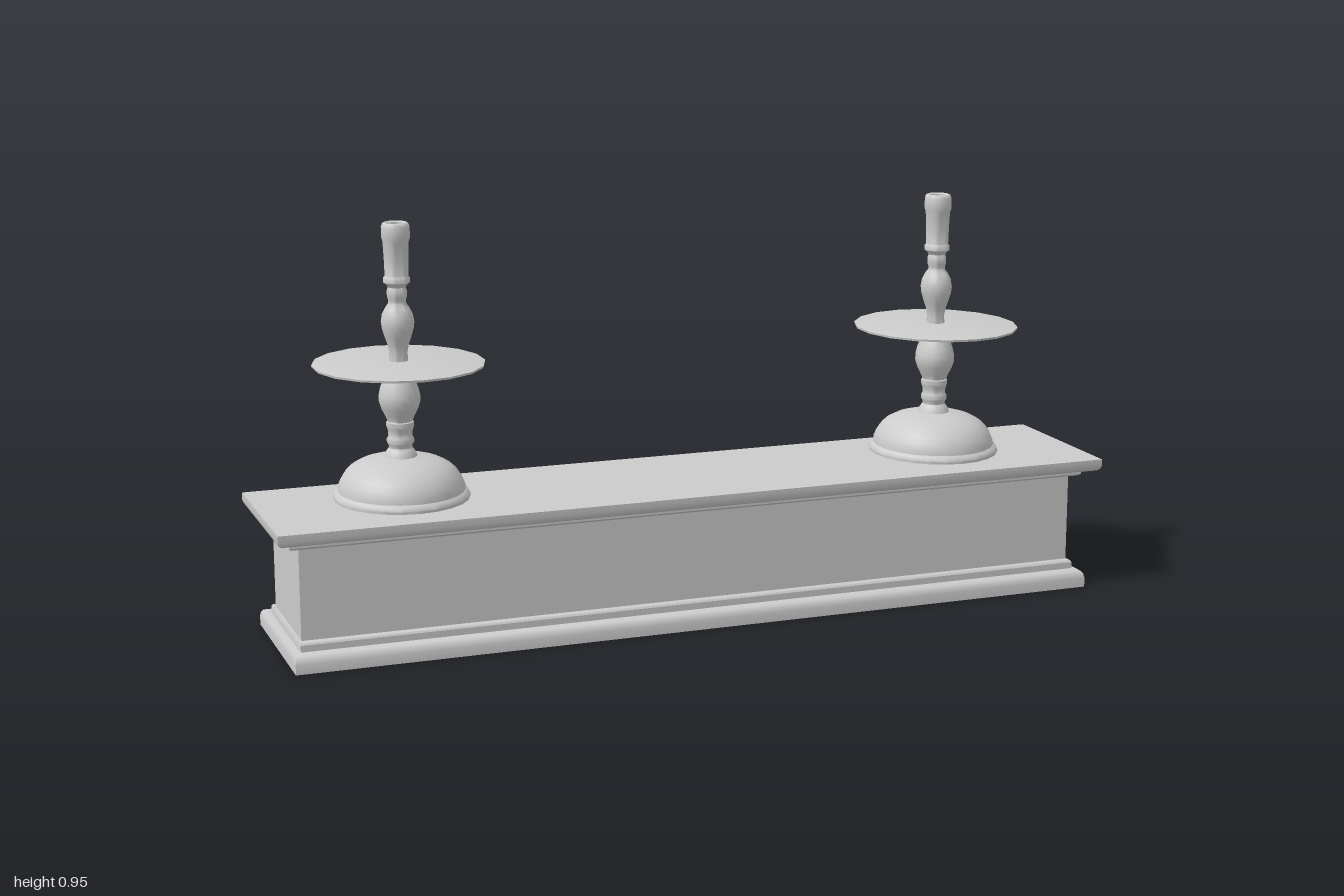
import * as THREE from 'three';
import { toCreasedNormals } from 'three/addons/utils/BufferGeometryUtils.js';

const material = new THREE.MeshStandardMaterial({ color: 0xcccccc, side: THREE.DoubleSide });

// Skin over rectangular levels [halfWidth, halfDepth, y], listed bottom to top.
function rectSkin(name, levels, z) {
  const corners = [[1, 1], [1, -1], [-1, -1], [-1, 1]];
  const positions = [];
  const index = [];
  for (const [w, d, y] of levels) {
    for (const [sx, sz] of corners) positions.push(sx * w, y, sz * d);
  }
  for (let i = 0; i < levels.length - 1; i++) {
    for (let j = 0; j < 4; j++) {
      const a = i * 4 + j;
      const b = i * 4 + (j + 1) % 4;
      index.push(a, b, b + 4, a, b + 4, a + 4);
    }
  }
  const geometry = new THREE.BufferGeometry();
  geometry.setAttribute('position', new THREE.Float32BufferAttribute(positions, 3));
  geometry.setIndex(index);
  const mesh = new THREE.Mesh(toCreasedNormals(geometry, 0.6), material);
  mesh.name = name;
  mesh.position.z = z;
  return mesh;
}

function turned(name, profile, segments, crease = 0.75) {
  const points = profile.map(([r, y]) => new THREE.Vector2(r, y));
  const geometry = new THREE.LatheGeometry(points, segments);
  geometry.deleteAttribute('normal');
  geometry.deleteAttribute('uv');
  const mesh = new THREE.Mesh(toCreasedNormals(geometry, crease), material);
  mesh.name = name;
  return mesh;
}

function createCandlestick() {
  const group = new THREE.Group();
  // Domed foot with a flared rim
  group.add(turned('foot', [
    [0, 0.323], [0.165, 0.323], [0.166, 0.329], [0.161, 0.337], [0.154, 0.341],
    [0.153, 0.352], [0.147, 0.366], [0.137, 0.381], [0.121, 0.395],
    [0.099, 0.406], [0.074, 0.413], [0.052, 0.416], [0.036, 0.419],
  ], 24));
  // Baluster stem below the drip pan
  group.add(turned('lowerStem', [
    [0.040, 0.417], [0.038, 0.425], [0.033, 0.432], [0.028, 0.438], [0.029, 0.445],
    [0.033, 0.451], [0.033, 0.458], [0.029, 0.464], [0.029, 0.474], [0.032, 0.483],
    [0.034, 0.490], [0.033, 0.497], [0.030, 0.499], [0.036, 0.512], [0.045, 0.529],
    [0.050, 0.545], [0.050, 0.558], [0.045, 0.578], [0.036, 0.597], [0.029, 0.612],
    [0.026, 0.630],
  ], 20));
  // Wide thin drip pan
  group.add(turned('dripPan', [
    [0, 0.629], [0.207, 0.627], [0.208, 0.632], [0.185, 0.636], [0, 0.637],
  ], 18, 0.5));
  group.add(turned('upperStem', [
    [0.023, 0.636], [0.022, 0.655], [0.025, 0.672], [0.032, 0.691], [0.038, 0.710],
    [0.040, 0.725], [0.037, 0.742], [0.029, 0.757], [0.021, 0.767], [0.021, 0.773],
    [0.024, 0.782], [0.024, 0.795], [0.021, 0.803], [0.026, 0.810],
  ], 20));
  // Hollow candle socket
  group.add(turned('candleSocket', [
    [0.021, 0.806], [0.032, 0.814], [0.032, 0.824], [0.028, 0.829], [0.029, 0.865],
    [0.031, 0.905], [0.034, 0.914], [0.034, 0.938], [0.031, 0.946], [0.027, 0.948],
    [0.022, 0.945], [0.020, 0.900], [0, 0.898],
  ], 20));
  group.scale.x = 0.93;
  return group;
}

export function createModel() {
  const model = new THREE.Group();
  model.name = 'mantelWithCandlesticks';

  // Hollow plinth, open underneath
  model.add(rectSkin('wall', [[0.944, 0.139, 0.004], [0.944, 0.139, 0.275]], 0.014));
  model.add(rectSkin('baseMoulding', [
    [0.942, 0.137, 0], [0.969, 0.197, 0], [0.969, 0.197, 0.022], [0.967, 0.194, 0.032],
    [0.963, 0.188, 0.038], [0.957, 0.180, 0.040], [0.942, 0.137, 0.040],
  ], 0.0085));
  model.add(rectSkin('baseStep', [
    [0.95, 0.160, 0.04], [0.95, 0.160, 0.055], [0.948, 0.157, 0.059], [0.943, 0.137, 0.06],
  ], 0.013));

  // Cornice step and overhanging top slab
  model.add(rectSkin('corniceStep', [
    [0.943, 0.137, 0.27], [0.962, 0.154, 0.27], [0.968, 0.160, 0.275], [0.968, 0.160, 0.289],
  ], 0.012));
  model.add(rectSkin('topSlab', [
    [0, 0, 0.288], [0.985, 0.188, 0.288], [0.993, 0.194, 0.290], [0.998, 0.199, 0.295],
    [1, 0.2015, 0.302], [1, 0.2015, 0.318], [0, 0, 0.318],
  ], 0.0135));

  for (const [name, x] of [['leftCandlestick', 0.657], ['rightCandlestick', -0.671]]) {
    const candlestick = createCandlestick();
    candlestick.name = name;
    candlestick.position.set(x, 0, -0.008);
    model.add(candlestick);
  }
  return model;
}
